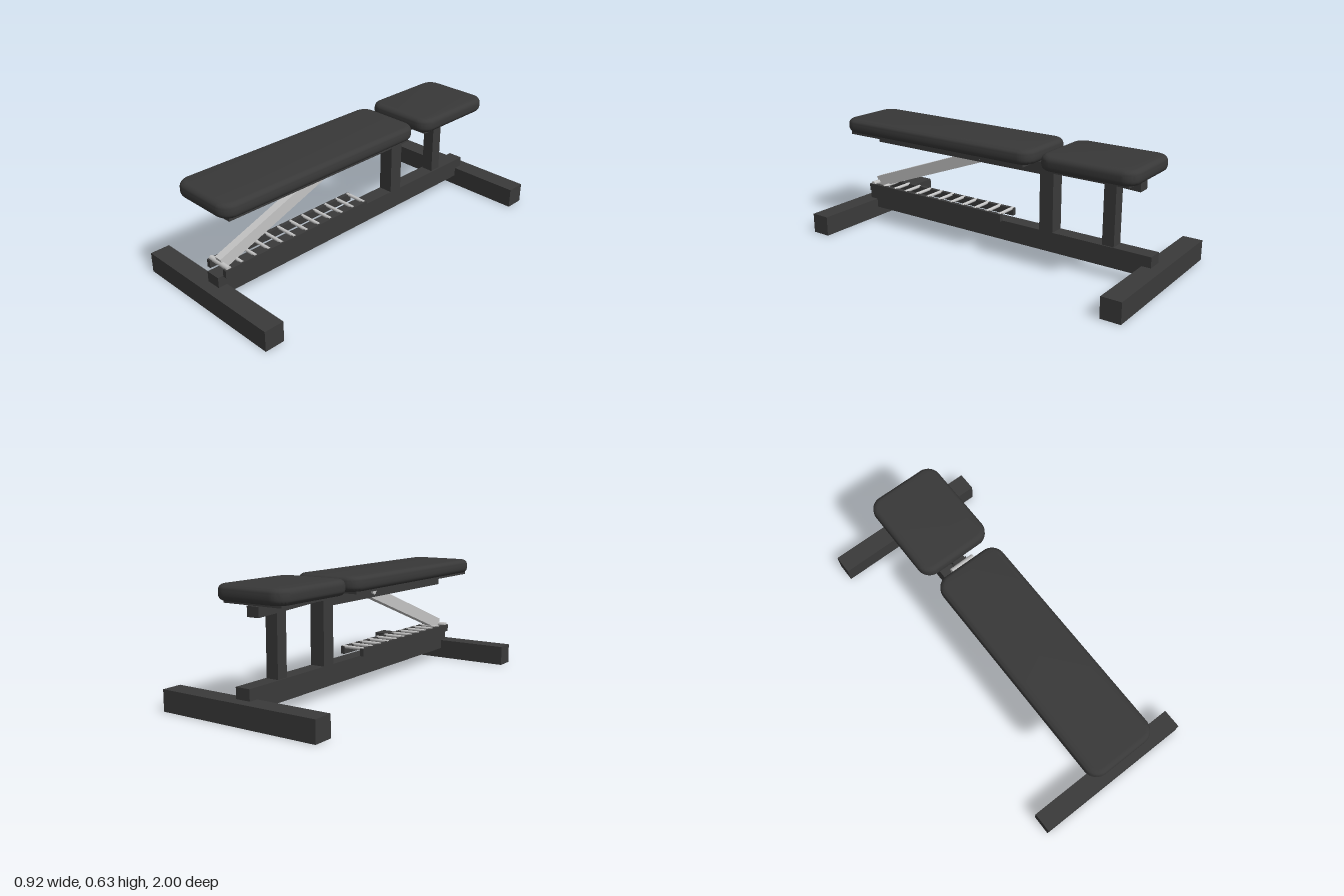
import * as THREE from 'three';
import { toCreasedNormals } from 'three/addons/utils/BufferGeometryUtils.js';

export function createModel() {
  const model = new THREE.Group();
  model.name = 'weightBench';

  const material = (name, color) => {
    const m = new THREE.MeshStandardMaterial({ color });
    m.name = name;
    return m;
  };
  const frame = material('darkFrame', 0x3a3a3a);
  const vinyl = material('padVinyl', 0x383838);
  const steel = material('brightSteel', 0xc4c4c4);

  const add = (name, geometry, mat) => {
    const mesh = new THREE.Mesh(geometry, mat);
    mesh.name = name;
    model.add(mesh);
    return mesh;
  };

  // Box given by its limits on each axis
  const box = (name, mat, x0, x1, y0, y1, z0, z1) => {
    const mesh = add(name, new THREE.BoxGeometry(x1 - x0, y1 - y0, z1 - z0), mat);
    mesh.position.set((x0 + x1) / 2, (y0 + y1) / 2, (z0 + z1) / 2);
    return mesh;
  };

  // Round bar lying across the bench
  const crossBar = (name, radius, halfWidth, y, z) => {
    const mesh = add(name, new THREE.CylinderGeometry(radius, radius, halfWidth * 2, 20), steel);
    mesh.rotation.z = Math.PI / 2;
    mesh.position.set(0, y, z);
    return mesh;
  };

  // Cushion with rounded corners in plan and rolled edges
  const pad = (name, halfWidth, z0, z1, y0, y1) => {
    const roll = 0.03, r = 0.045;
    const w = halfWidth - roll, h = (z1 - z0) / 2 - roll;
    const s = new THREE.Shape();
    s.moveTo(w, -h + r);
    s.absarc(w - r, h - r, r, 0, Math.PI / 2);
    s.absarc(-w + r, h - r, r, Math.PI / 2, Math.PI);
    s.absarc(-w + r, -h + r, r, Math.PI, Math.PI * 1.5);
    s.absarc(w - r, -h + r, r, Math.PI * 1.5, Math.PI * 2);
    const g = new THREE.ExtrudeGeometry(s, {
      depth: y1 - y0 - roll * 2, bevelThickness: roll, bevelSize: roll,
      bevelSegments: 6, curveSegments: 10,
    });
    g.rotateX(-Math.PI / 2);
    g.translate(0, y0 + roll, (z0 + z1) / 2);
    add(name, toCreasedNormals(g, 0.7), vinyl);
  };

  // Base: two wide feet joined by a spine
  box('frontFoot', frame, -0.46, 0.46, 0, 0.112, 0.89, 1);
  box('rearFoot', frame, -0.46, 0.46, 0, 0.112, -1, -0.89);
  box('spine', frame, -0.042, 0.042, 0.06, 0.17, -0.94, 0.94);

  // Uprights
  box('mainPost', frame, -0.042, 0.042, 0.17, 0.545, -0.372, -0.29);
  box('seatPost', frame, -0.035, 0.035, 0.17, 0.53, -0.73, -0.663);

  // Seat rail, deeper towards the back
  const side = new THREE.Shape([
    [0.35, 0.547], [0.35, 0.512], [0.86, 0.485], [0.86, 0.537],
  ].map(([z, y]) => new THREE.Vector2(z, y)));
  const rail = new THREE.ExtrudeGeometry(side, { depth: 0.07, bevelEnabled: false });
  rail.translate(0, 0, -0.035);
  rail.rotateY(Math.PI / 2);
  add('seatRail', rail, frame);

  // Backrest rail, mounting boards and cushions
  box('backrestRail', frame, -0.035, 0.035, 0.476, 0.542, -0.3, 0.857);
  box('backrestBoard', frame, -0.175, 0.175, 0.541, 0.56, -0.27, 0.942);
  box('seatBoard', frame, -0.175, 0.175, 0.541, 0.56, -0.865, -0.41);
  pad('backrestPad', 0.197, -0.315, 0.98, 0.552, 0.632);
  pad('seatPad', 0.211, -0.908, -0.37, 0.552, 0.632);

  // Pivots
  crossBar('backrestPivot', 0.021, 0.07, 0.553, -0.335);
  crossBar('strutPivot', 0.017, 0.047, 0.51, 0.095);

  // Support strut sloping from the backrest rail to the ladder
  const top = new THREE.Vector3(0, 0.52, 0.068);
  const foot = new THREE.Vector3(0, 0.217, 0.893);
  const strut = add('supportStrut', new THREE.BoxGeometry(0.044, 0.066, top.distanceTo(foot)), steel);
  strut.position.copy(top).add(foot).multiplyScalar(0.5);
  strut.rotation.x = Math.atan2(top.y - foot.y, foot.z - top.z);
  crossBar('strutFootBar', 0.014, 0.071, 0.215, 0.892);

  // Adjustment ladder
  for (const s of [-1, 1]) {
    const ladderRail = box('ladderRail', frame, -0.0115, 0.0115, 0.172, 0.214, -0.057, 0.915);
    ladderRail.position.x = s * 0.0635;
  }
  for (let i = 0; i < 11; i++) {
    crossBar('ladderRung', 0.009, 0.066, 0.211, 0.808 - i * 0.0852);
  }
  return model;
}
